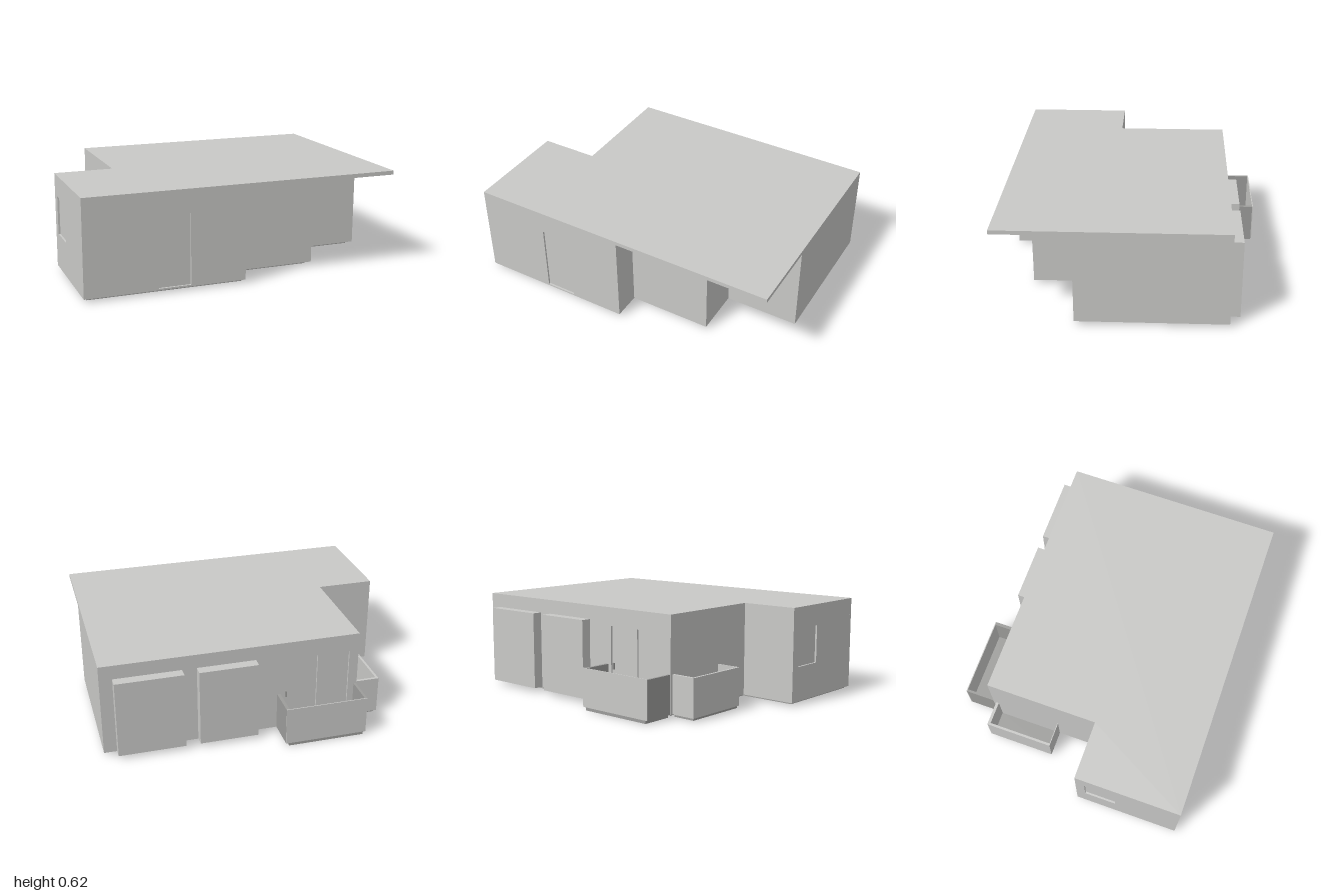
import * as THREE from 'three';

export function createModel() {
  const group = new THREE.Group();
  const light = new THREE.MeshStandardMaterial({ name: 'light grey', color: 0xc9c9c7 });
  const dark = new THREE.MeshStandardMaterial({ name: 'dark grey', color: 0x9d9d9b });

  const add = (name, geometry, material, parent = group) => {
    const mesh = new THREE.Mesh(geometry, material);
    mesh.name = name;
    parent.add(mesh);
    return mesh;
  };
  // box given by its limits on each axis
  const box = (name, [x0, x1], [y0, y1], [z0, z1], material, parent) =>
    add(name, new THREE.BoxGeometry(x1 - x0, y1 - y0, z1 - z0), material, parent)
      .position.set((x0 + x1) / 2, (y0 + y1) / 2, (z0 + z1) / 2);
  // horizontal plate from an [x, z] outline
  const plate = (name, outline, y0, y1, material) => {
    const shape = new THREE.Shape(outline.map(([x, z]) => new THREE.Vector2(x, -z)));
    const geometry = new THREE.ExtrudeGeometry(shape, { depth: y1 - y0, bevelEnabled: false });
    add(name, geometry.rotateX(-Math.PI / 2).translate(0, y0, 0), material);
  };
  const rect = (Type, u0, u1, y0, y1) => new Type([[u0, y0], [u1, y0], [u1, y1], [u0, y1]]
    .map(([u, y]) => new THREE.Vector2(u, y)));

  // stepped house outline, front left corner first
  const outline = [[-1, 0.8], [0, 0.8], [0, 0.625], [0.53, 0.625], [0.53, 0.325],
    [1, 0.325], [1, -0.6], [-0.63, -0.6], [-0.63, 0.12], [-1, 0.12]];
  // openings per wall: [name, start, end, bottom, top], measured along the wall
  const openings = {
    0: [['frontDoor', 0.45, 0.65, 0.03, 0.47]],
    6: [['balconyDoor', 1.145, 1.36, 0.03, 0.5], ['balconyWindow', 1.365, 1.57, 0.03, 0.5]],
    9: [['sideWindow', 0.06, 0.265, 0.24, 0.48]],
  };

  // walls with shallow recessed doors and windows
  const thickness = 0.015;
  outline.forEach(([x, z], i) => {
    const [nx, nz] = outline[(i + 1) % outline.length];
    const wall = new THREE.Group();
    wall.name = 'wall' + (i + 1);
    wall.position.set(x, 0, z);
    wall.rotation.y = Math.atan2(z - nz, nx - x);
    group.add(wall);
    const shape = rect(THREE.Shape, 0, Math.hypot(nx - x, nz - z), 0.025, 0.59);
    for (const [name, u0, u1, y0, y1] of openings[i] ?? []) {
      shape.holes.push(rect(THREE.Path, u0, u1, y0, y1));
      box(name, [u0 - 0.004, u1 + 0.004], [y0 - 0.004, y1 + 0.004], [-0.025, -0.012], light, wall);
    }
    const geometry = new THREE.ExtrudeGeometry(shape, { depth: thickness, bevelEnabled: false });
    add('wallPanel', geometry.translate(0, 0, -thickness), light, wall);
  });
  box('doorHandle', [-0.165, -0.155], [0.23, 0.27], [-0.6, -0.585], dark);

  // roof covers the stepped corner too
  plate('roof', [[-1, 0.8], [1, 0.8], [1, -0.6], [-0.63, -0.6], [-0.63, 0.12], [-1, 0.12]],
    0.59, 0.615, light);
  plate('floor', outline, 0.02, 0.025, light);
  plate('foundation', [[-0.98, 0.78], [-0.02, 0.78], [-0.02, 0.605], [0.495, 0.605], [0.495, 0.305],
    [0.96, 0.305], [0.96, -0.58], [-0.61, -0.58], [-0.61, 0.14], [-0.98, 0.14]], 0.008, 0.02, dark);

  // projecting bays on the back
  for (const [x0, x1] of [[0.04, 0.41], [0.5, 0.92]])
    box('bay', [x0, x1], [0.025, 0.525], [-0.665, -0.6], light);

  // back balcony
  box('backBalconyFloor', [-0.61, -0.12], [0, 0.022], [-0.796, -0.6], dark);
  box('backBalconyFront', [-0.625, -0.1], [0.02, 0.263], [-0.8, -0.794], light);
  for (const [x0, x1] of [[-0.625, -0.61], [-0.12, -0.1]])
    box('backBalconySide', [x0, x1], [0.02, 0.26], [-0.794, -0.6], dark);

  // side balcony
  box('sideBalconyFloor', [-0.776, -0.63], [0.003, 0.022], [-0.566, -0.147], dark);
  box('sideBalconyFront', [-0.79, -0.775], [0.02, 0.26], [-0.583, -0.145], light);
  box('sideBalconyBackRail', [-0.775, -0.63], [0.02, 0.26], [-0.583, -0.565], light);
  box('sideBalconyFrontRail', [-0.775, -0.63], [0.02, 0.26], [-0.15, -0.145], light);

  return group;
}
